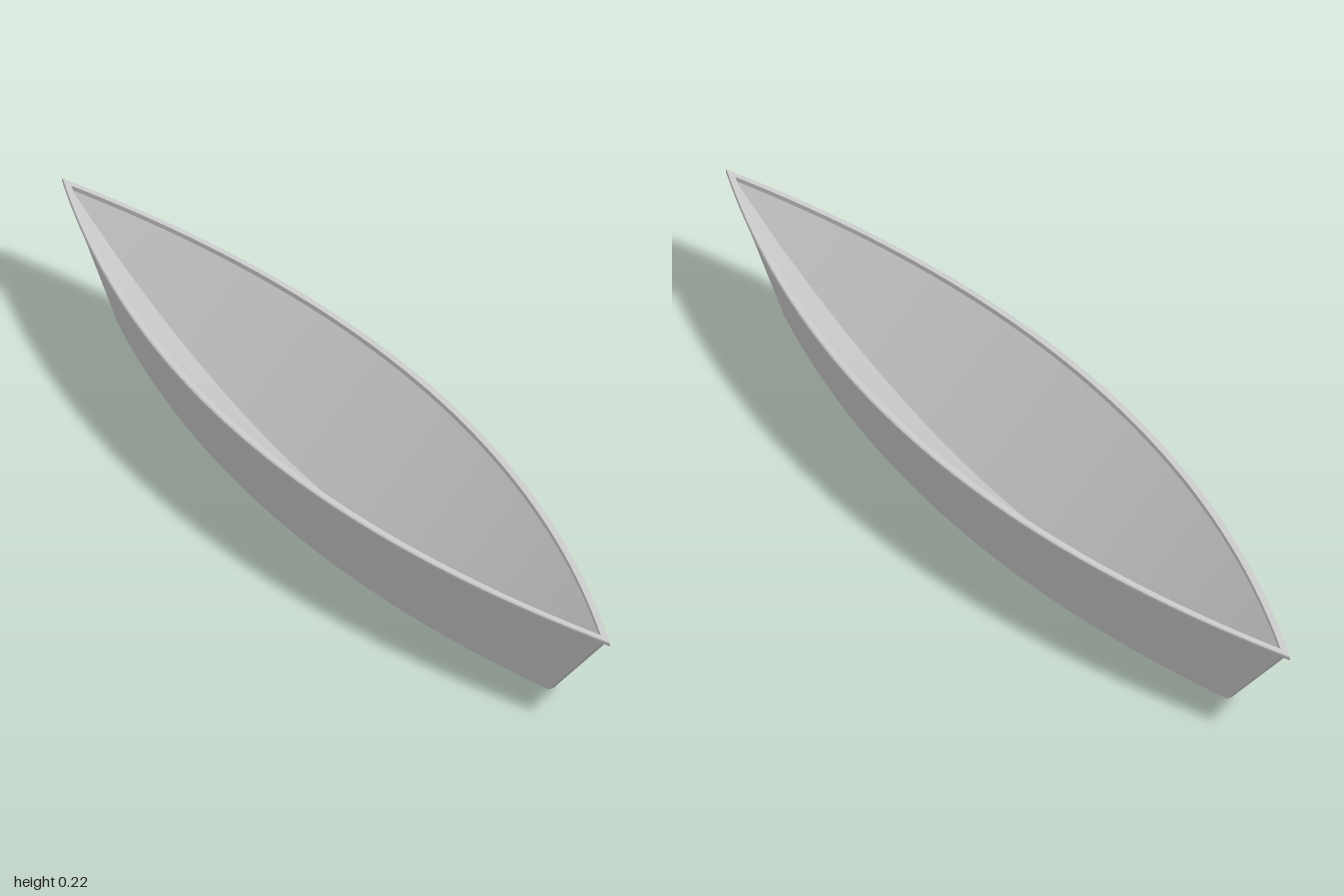
import * as THREE from 'three';
import { mergeGeometries } from 'three/addons/utils/BufferGeometryUtils.js';

const STEPS = 48;

// One side of a pointed-oval outline at height y; blunt is the half width left at its ends
function outline(width, length, y, side, blunt = 0) {
  return Array.from({ length: STEPS + 1 }, (_, i) => {
    const t = (i / STEPS) * 2 - 1;
    return [side * (blunt + (width - blunt) * (1 - t * t)), y, t * length];
  });
}

// Smooth strip between two curves with the same number of points
function strip(a, b) {
  const geo = new THREE.BufferGeometry();
  const index = [];
  const n = a.length;
  for (let i = 0; i < n - 1; i++) {
    index.push(i, n + i, i + 1, i + 1, n + i, n + i + 1);
  }
  geo.setAttribute('position', new THREE.Float32BufferAttribute([...a, ...b].flat(), 3));
  geo.setIndex(index);
  geo.computeVertexNormals();
  return geo;
}

// Strip that keeps facing the right way when mirrored
const sideStrip = (a, b, side) => (side > 0 ? strip(a, b) : strip(b, a));

export function createModel() {
  const group = new THREE.Group();
  const grey = new THREE.MeshStandardMaterial({ color: 0xcccccc, side: THREE.DoubleSide });
  grey.name = 'hull grey';

  const add = (name, geometries) => {
    const mesh = new THREE.Mesh(mergeGeometries(geometries), grey);
    mesh.name = name;
    group.add(mesh);
  };

  // Flared outer planking, open underneath
  const low = (s) => outline(0.123, 0.785, 0, s, 0.006);
  const high = (s) => outline(0.192, 0.98, 0.21, s, 0.006);
  add('outerHull', [1, -1].map((s) => sideStrip(low(s), high(s), s)));

  // Narrow flat stems closing both pointed ends
  add('stems', [0, STEPS].map((i) => {
    const pair = (f) => [f(1)[i], f(-1)[i]];
    return i ? strip(pair(high), pair(low)) : strip(pair(low), pair(high));
  }));

  // V-shaped inner shell meeting at a gently curved keel line
  const keel = outline(0, 0.96, 0, 1).map(([, , z]) => [0, 0.006 + 0.204 * (z / 0.96) ** 2, z]);
  add('innerShell', [1, -1].map((s) => sideStrip(outline(0.19, 0.965, 0.212, s), keel, s)));

  // Gunwale: thin bar with softened outer edge, following the top of the hull
  const profile = [
    [0.189, 0.963, 0.21], [0.202, 0.994, 0.21], [0.206, 1, 0.213],
    [0.206, 1, 0.218], [0.203, 0.997, 0.22], [0.191, 0.966, 0.22],
  ];
  const rim = [];
  for (const s of [1, -1]) {
    const curves = profile.map(([w, l, y]) => outline(w, l, y, s));
    curves.forEach((c, i) => rim.push(sideStrip(c, curves[(i + 1) % curves.length], s)));
  }
  add('gunwale', rim);

  return group;
}
